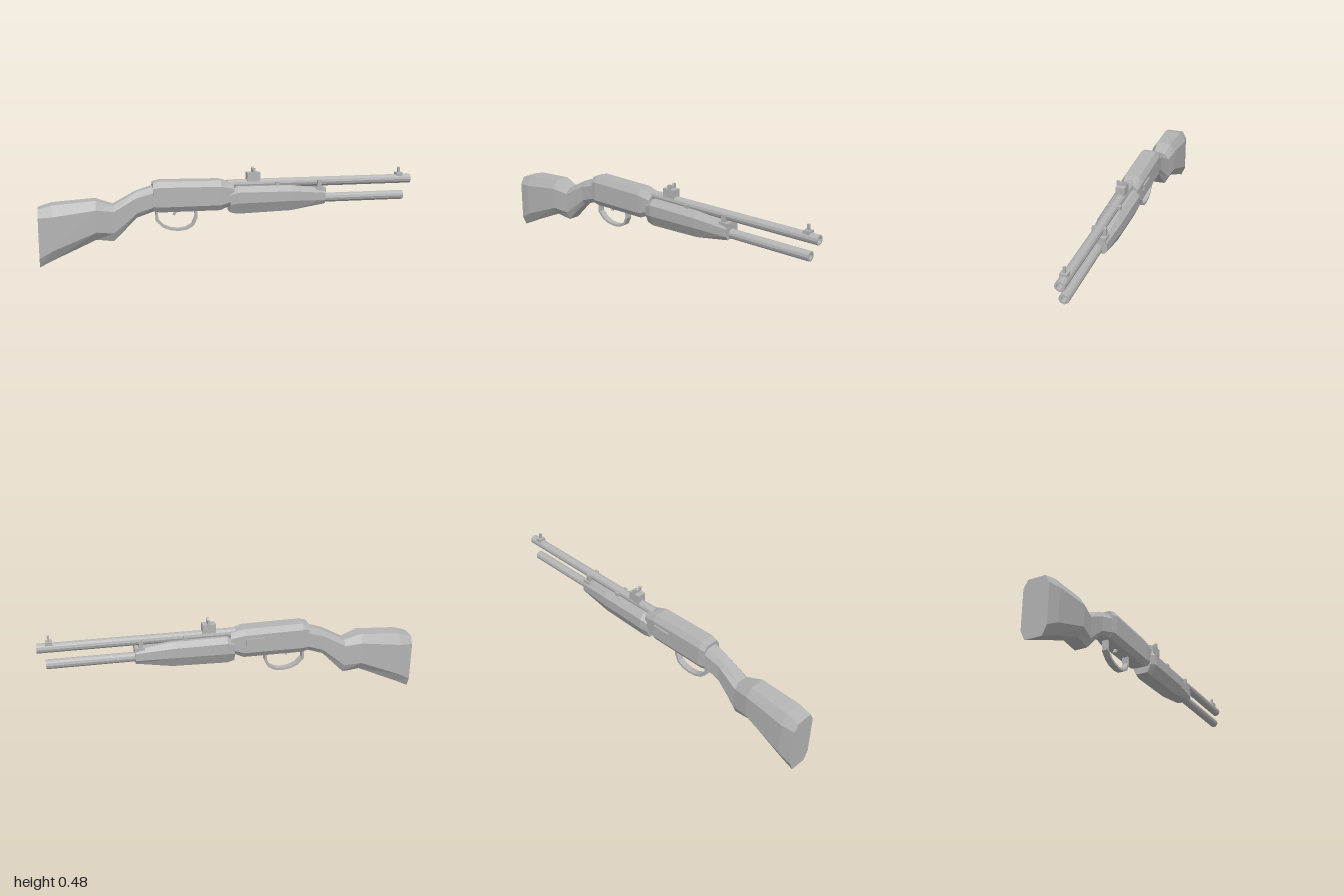
import * as THREE from 'three';

const steel = new THREE.MeshStandardMaterial({ color: 0xb4b4b4 });
steel.name = 'plain grey';
steel.flatShading = true;

// Skin of eight-sided sections running along x.
// Section: [x, top, bottom, halfWidth, topHalfWidth, topChamfer, bottomHalfWidth, bottomChamfer]
function loft(sections) {
  const rings = sections.map(([x, t, b, w, wt, ct, wb, cb]) => [
    [x, t, wt], [x, t - ct, w], [x, b + cb, w], [x, b, wb],
    [x, b, -wb], [x, b + cb, -w], [x, t - ct, -w], [x, t, -wt],
  ]);
  const pos = [];
  const tri = (...corners) => corners.forEach((c) => pos.push(...c));
  for (let s = 0; s < rings.length - 1; s++) {
    const a = rings[s], b = rings[s + 1];
    for (let i = 0; i < 8; i++) {
      const j = (i + 1) % 8;
      tri(a[j], b[j], b[i]);
      tri(a[j], b[i], a[i]);
    }
  }
  const first = rings[0], last = rings[rings.length - 1];
  for (let i = 1; i < 7; i++) {
    tri(first[0], first[i + 1], first[i]);
    tri(last[0], last[i], last[i + 1]);
  }
  const g = new THREE.BufferGeometry();
  g.setAttribute('position', new THREE.Float32BufferAttribute(pos, 3));
  g.computeVertexNormals();
  return g;
}

// Round tube along x with an open bore at its front end
function tube(x0, x1, y, r, bore) {
  const L = x1 - x0;
  const profile = [[0, 0], [r, 0], [r, L], [bore, L], [bore, L - 0.12], [0, L - 0.12]];
  const g = new THREE.LatheGeometry(profile.map((p) => new THREE.Vector2(...p)), 12);
  return g.rotateZ(-Math.PI / 2).translate(x0, y, 0);
}

// Box given by its limits in x and y and its half width
function block(x0, x1, y0, y1, halfWidth, z = 0) {
  return new THREE.BoxGeometry(x1 - x0, y1 - y0, halfWidth * 2)
    .translate((x0 + x1) / 2, (y0 + y1) / 2, z);
}

// Flat outline extruded symmetrically about z = 0
function plate(points, depth) {
  const shape = new THREE.Shape(points.map((p) => new THREE.Vector2(...p)));
  return new THREE.ExtrudeGeometry(shape, { depth, bevelEnabled: false }).translate(0, 0, -depth / 2);
}

export function createModel() {
  const group = new THREE.Group();
  group.name = 'longGun';
  const add = (name, geometry) => {
    const mesh = new THREE.Mesh(geometry, steel);
    mesh.name = name;
    group.add(mesh);
  };

  // Shoulder stock and wrist
  add('stock', loft([
    [-1.0, 0.3, 0.0, 0.068, 0.045, 0.04, 0.045, 0.05],
    [-0.93, 0.32, 0.035, 0.078, 0.047, 0.055, 0.048, 0.055],
    [-0.71, 0.335, 0.13, 0.07, 0.042, 0.045, 0.038, 0.045],
    [-0.62, 0.305, 0.117, 0.053, 0.03, 0.03, 0.033, 0.045],
    [-0.5, 0.37, 0.235, 0.042, 0.024, 0.03, 0.026, 0.025],
    [-0.4, 0.4, 0.27, 0.05, 0.028, 0.03, 0.03, 0.025],
  ]));

  // Receiver
  add('receiver', loft([
    [-0.415, 0.415, 0.268, 0.052, 0.034, 0.028, 0.036, 0.025],
    [-0.38, 0.423, 0.26, 0.058, 0.039, 0.03, 0.038, 0.03],
    [-0.06, 0.418, 0.26, 0.058, 0.039, 0.03, 0.038, 0.03],
    [0.01, 0.398, 0.29, 0.05, 0.028, 0.025, 0.034, 0.02],
  ]));
  add('sidePort', block(-0.17, -0.07, 0.335, 0.37, 0.005, -0.061));

  // Sliding grip
  add('slideGrip', loft([
    [-0.01, 0.36, 0.245, 0.055, 0.036, 0.02, 0.034, 0.045],
    [0.03, 0.383, 0.237, 0.067, 0.042, 0.028, 0.038, 0.06],
    [0.32, 0.38, 0.245, 0.064, 0.04, 0.028, 0.038, 0.055],
    [0.51, 0.352, 0.275, 0.047, 0.034, 0.018, 0.034, 0.02],
  ]));

  // Barrel and the shorter tube below it
  add('barrel', tube(-0.02, 1.0, 0.391, 0.025, 0.016));
  add('lowerTube', tube(0.4, 0.96, 0.301, 0.025, 0.014));

  // Bands between the barrel and the grip
  add('middleBand', block(0.235, 0.258, 0.365, 0.4, 0.036));
  add('frontBand', block(0.468, 0.49, 0.345, 0.402, 0.036));
  add('frontBandFoot', block(0.46, 0.512, 0.335, 0.362, 0.042));

  // Rear sight with a notched blade
  add('rearSightBase', block(0.085, 0.155, 0.405, 0.452, 0.024));
  add('rearSightBlade', plate([
    [-0.026, 0.45], [0.026, 0.45], [0.026, 0.476], [0.013, 0.476],
    [0, 0.462], [-0.013, 0.476], [-0.026, 0.476],
  ], 0.012).rotateY(Math.PI / 2).translate(0.122, 0, 0));

  // Front sight
  add('frontSightBase', block(0.92, 0.955, 0.408, 0.426, 0.019));
  add('frontSightPost', block(0.932, 0.944, 0.424, 0.455, 0.006));

  // Trigger guard: a bent strip with open ends inside the receiver
  const outer = [
    [-0.4, 0.27], [-0.4, 0.21], [-0.365, 0.175], [-0.325, 0.158], [-0.28, 0.152],
    [-0.235, 0.158], [-0.2, 0.178], [-0.18, 0.22], [-0.183, 0.27],
  ];
  const inner = outer.map(([x, y]) => [-0.29 + (x + 0.29) * 0.89, 0.27 + (y - 0.27) * 0.9]).reverse();
  add('triggerGuard', plate([...outer, ...inner], 0.034));

  // Trigger
  add('trigger', plate([[-0.295, 0.27], [-0.31, 0.238], [-0.3, 0.234], [-0.277, 0.27]], 0.014));

  return group;
}
